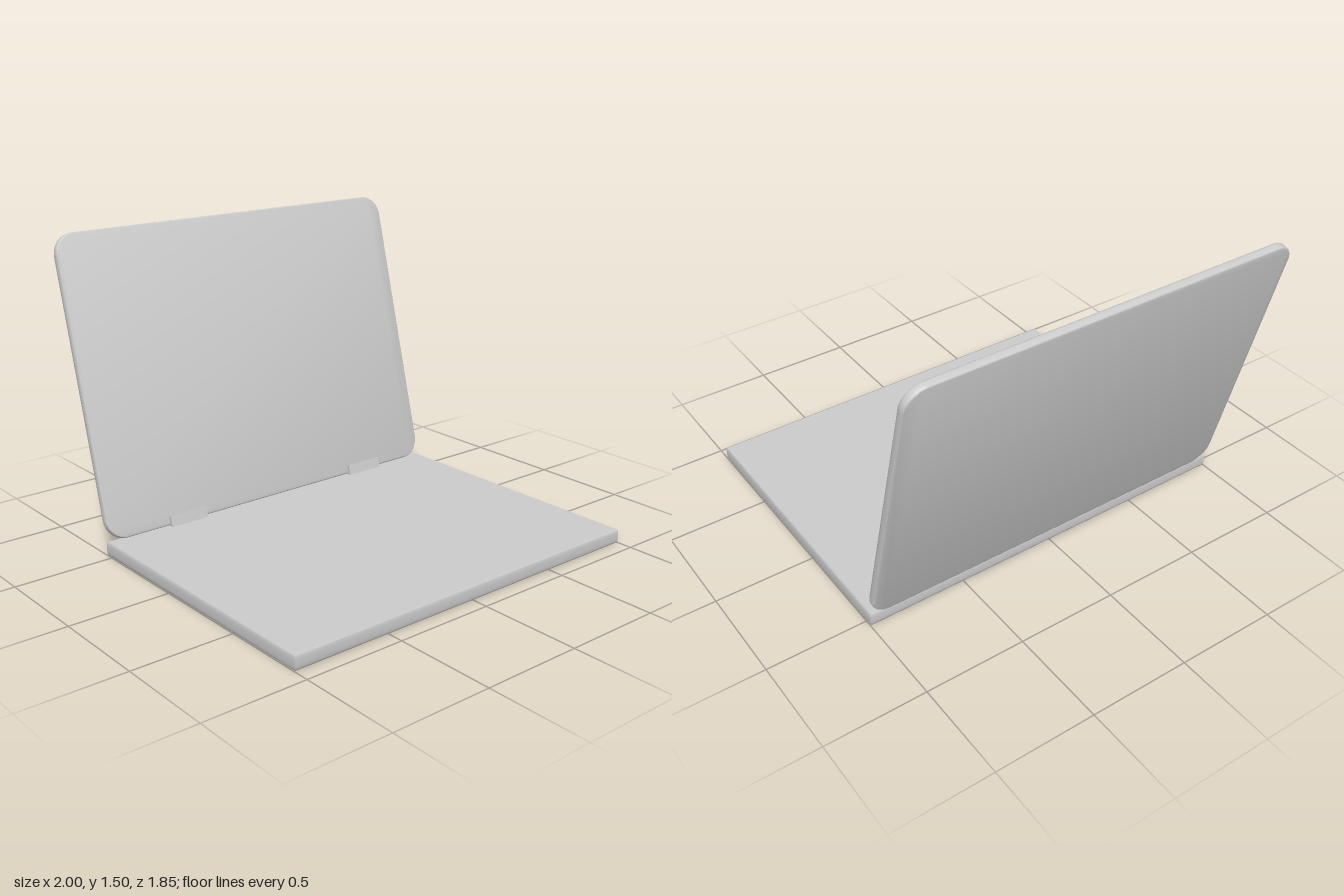
import * as THREE from 'three';
import { toCreasedNormals } from 'three/addons/utils/BufferGeometryUtils.js';

const BULGE = 0.006; // how far the rims swell outward

// Rectangle outline, with optional rounded corners
function outline(x0, y0, x1, y1, r) {
  const s = new THREE.Shape();
  if (r === 0) {
    s.moveTo(x0, y0).lineTo(x1, y0).lineTo(x1, y1).lineTo(x0, y1).closePath();
    return s;
  }
  s.moveTo(x0 + r, y0).lineTo(x1 - r, y0);
  s.absarc(x1 - r, y0 + r, r, -Math.PI / 2, 0);
  s.absarc(x1 - r, y1 - r, r, 0, Math.PI / 2);
  s.absarc(x0 + r, y1 - r, r, Math.PI / 2, Math.PI);
  s.absarc(x0 + r, y0 + r, r, Math.PI, Math.PI * 1.5);
  return s;
}

// Flat slab from z = 0 to z = thickness with a softly bulging rim
function slab(shape, thickness) {
  const bevel = thickness * 0.4;
  const geo = new THREE.ExtrudeGeometry(shape, {
    depth: thickness - 2 * bevel,
    bevelThickness: bevel,
    bevelSize: BULGE,
    bevelSegments: 4,
    curveSegments: 10,
  });
  geo.translate(0, 0, bevel);
  return toCreasedNormals(geo, 0.6);
}

export function createModel() {
  const group = new THREE.Group();
  const material = new THREE.MeshStandardMaterial({ color: 0xcccccc });
  const add = (parent, name, geo) => {
    const mesh = new THREE.Mesh(geo, material);
    mesh.name = name;
    parent.add(mesh);
    return mesh;
  };

  // Base slab with square corners
  const w = 1 - BULGE;
  const baseGeo = slab(outline(-w, -0.923 + BULGE, w, 0.541 - BULGE, 0), 0.07);
  baseGeo.rotateX(-Math.PI / 2);
  add(group, 'base', baseGeo);

  // Screen leaning back about its lower front edge
  const screen = new THREE.Group();
  screen.name = 'screen';
  screen.position.set(0, 0.08, -0.51);
  screen.rotation.x = THREE.MathUtils.degToRad(-14.8);
  group.add(screen);
  const lidGeo = slab(outline(-w, 0, w, 1.465, 0.1), 0.04);
  lidGeo.translate(0, 0, -0.04);
  add(screen, 'lid', lidGeo);

  // Hinge blocks standing proud of the lid's lower edge
  for (const [name, x] of [['rightHinge', -0.555], ['leftHinge', 0.585]]) {
    const hinge = add(screen, name, new THREE.BoxGeometry(0.21, 0.052, 0.03));
    hinge.position.set(x, 0.012, 0.001);
  }

  return group;
}
